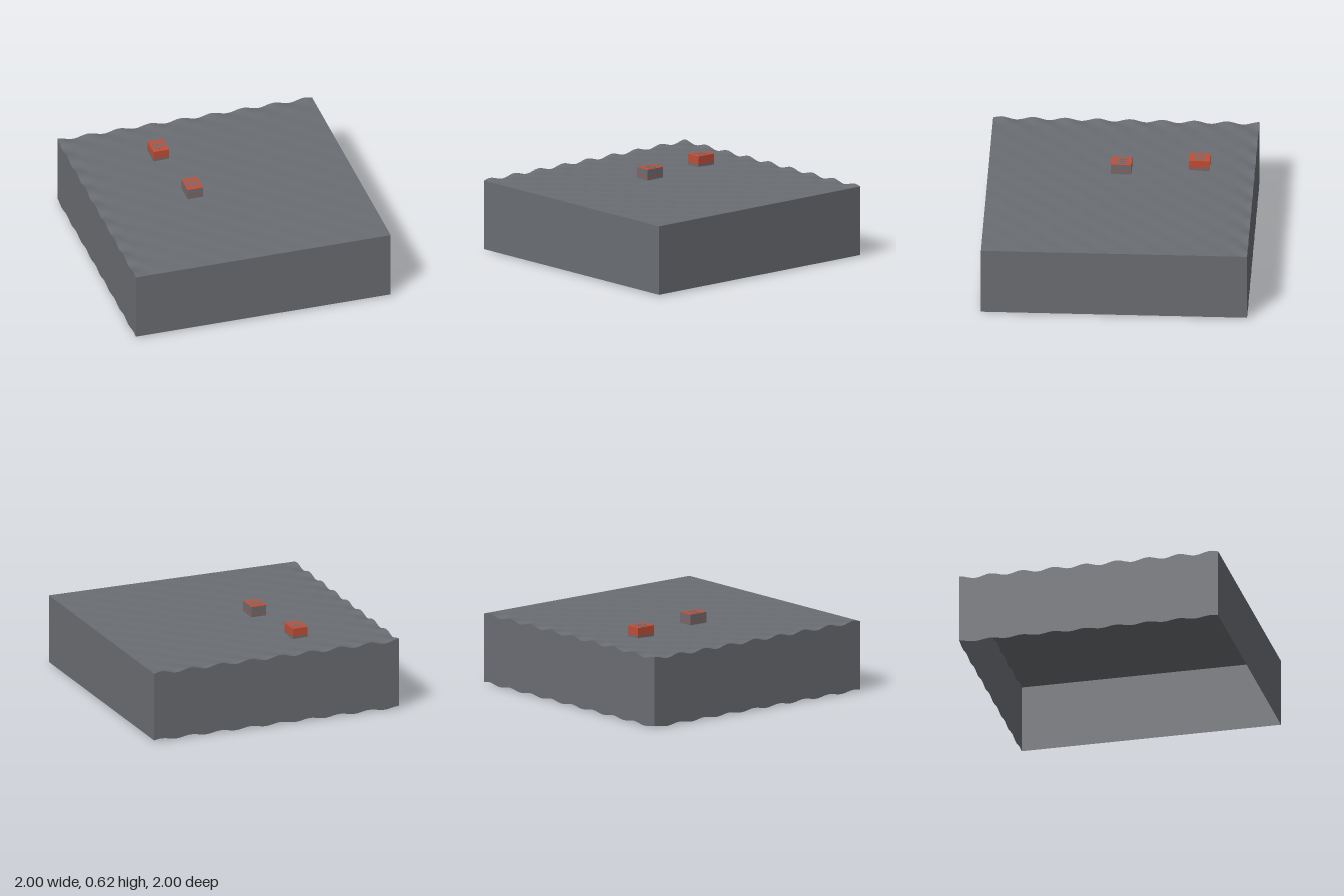
import * as THREE from 'three';

const TOP = 0.535, BASE = 0.008, K = 16.5 * Math.PI / 2;

// Ripple that is still at x = 1 and z = 1 and strongest along x = -1 and z = -1
function ripple(x, z) {
  const near = Math.min(x, z) + 1;
  const fade = 0.2 + 0.8 * Math.max(0, 1 - near / 0.15);
  return fade * Math.sin(K * (1 - x)) * Math.sin(K * (1 - z));
}

export function createModel() {
  const model = new THREE.Group();
  const grey = new THREE.MeshStandardMaterial({ color: 0x6a6d72, side: THREE.DoubleSide });
  grey.name = 'slate grey';
  const red = new THREE.MeshStandardMaterial({ color: 0xbf4e38 });
  red.name = 'brick red';

  // Rippled top sheet
  const sheet = new THREE.PlaneGeometry(2, 2, 96, 96).rotateX(-Math.PI / 2);
  const sp = sheet.attributes.position;
  for (let i = 0; i < sp.count; i++) {
    sp.setY(i, TOP + 0.012 * ripple(sp.getX(i), sp.getZ(i)));
  }
  sheet.computeVertexNormals();
  const surface = new THREE.Mesh(sheet, grey);
  surface.name = 'surface';
  model.add(surface);

  // Four open-bottomed walls whose edges follow the ripple
  ['frontWall', 'leftWall', 'backWall', 'rightWall'].forEach((name, n) => {
    const geo = new THREE.PlaneGeometry(2, 1, 96, 1).translate(0, 0, 1).rotateY(n * Math.PI / 2);
    const p = geo.attributes.position;
    for (let i = 0; i < p.count; i++) {
      const r = ripple(p.getX(i), p.getZ(i));
      p.setY(i, p.getY(i) > 0 ? TOP + 0.012 * r : BASE + 0.008 * r);
    }
    const wall = new THREE.Mesh(geo, grey);
    wall.name = name;
    model.add(wall);
  });

  // Crates resting on the surface: bands stacked upward, lid and slots
  function addCrate(name, x, y, z, bands) {
    const crate = new THREE.Group();
    crate.name = name;
    const block = (part, w, h, d, px, py, mat) => {
      const mesh = new THREE.Mesh(new THREE.BoxGeometry(w, h, d), mat);
      mesh.name = part;
      mesh.position.set(px, py, 0);
      crate.add(mesh);
    };
    let level = 0;
    bands.forEach(([h, mat]) => {
      block('sideBand', 0.12, h, 0.156, 0, level + h / 2, mat);
      level += h;
    });
    block('lid', 0.12, 0.004, 0.156, 0, level + 0.002, red);
    for (const sx of [-0.03, 0, 0.03]) {
      block('slot', 0.015, 0.003, 0.08, sx, level + 0.004, grey);
    }
    crate.position.set(x, y, z);
    model.add(crate);
  }
  addCrate('backCrate', -0.337, 0.532, -0.583, [[0.02, grey], [0.06, red]]);
  addCrate('middleCrate', -0.25, 0.537, 0, [[0.022, grey], [0.008, red], [0.048, grey]]);

  return model;
}
